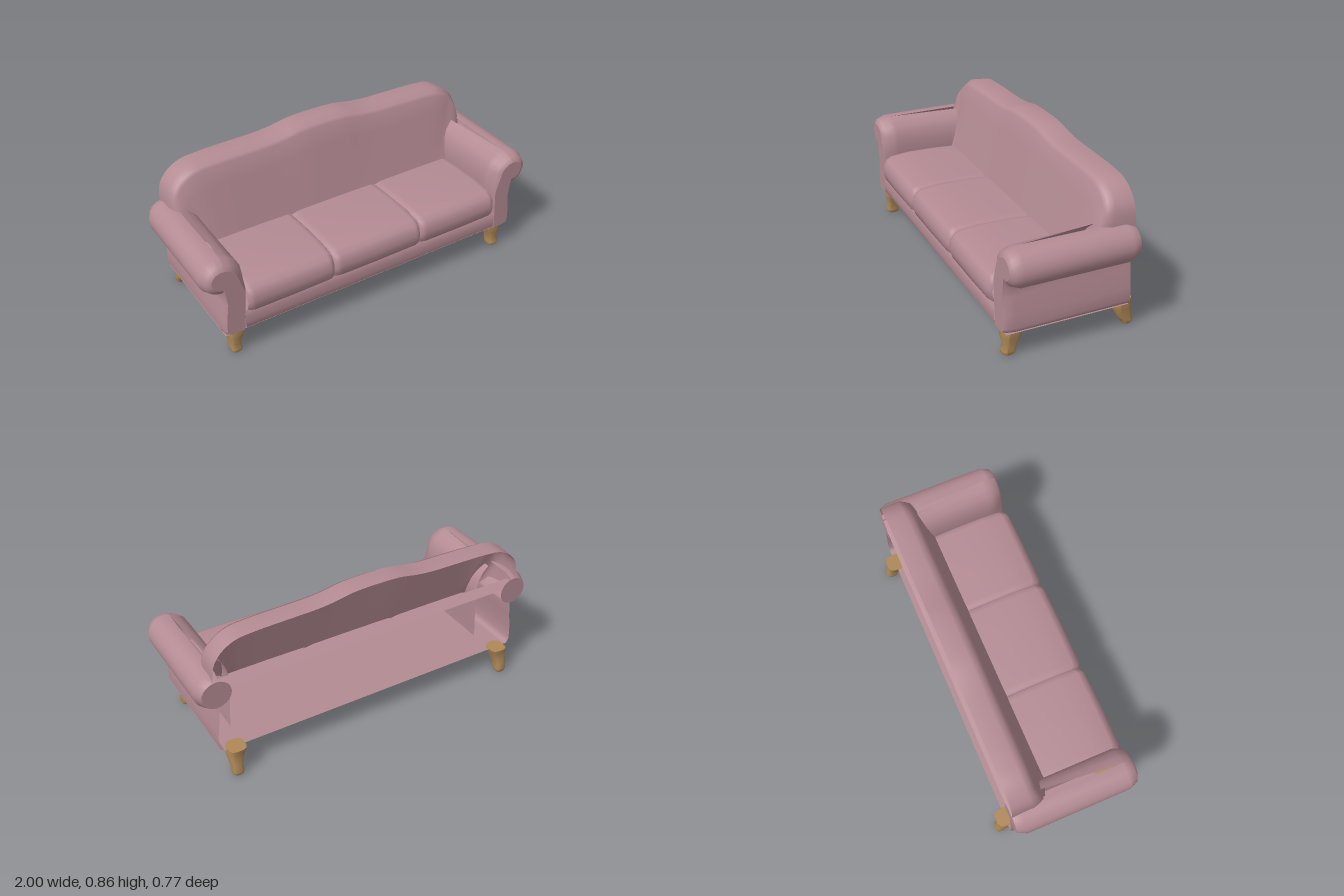
import * as THREE from 'three';

const fabric = new THREE.MeshStandardMaterial({ color: 0xb48b93, side: THREE.DoubleSide });
fabric.name = 'rose fabric';
const wood = new THREE.MeshStandardMaterial({ color: 0xae8857, side: THREE.DoubleSide });
wood.name = 'golden wood';

// Surface through rows of [x, y, z] points; smooth normals
function loft(name, rows, material = fabric) {
  const n = rows[0].length, index = [];
  for (let r = 0; r < rows.length - 1; r++) {
    for (let i = 0; i < n - 1; i++) {
      const a = r * n + i, b = a + 1, c = a + n, d = c + 1;
      index.push(a, c, b, b, c, d);
    }
  }
  const g = new THREE.BufferGeometry();
  g.setAttribute('position', new THREE.Float32BufferAttribute(rows.flat(2), 3));
  g.setIndex(index);
  g.computeVertexNormals();
  const mesh = new THREE.Mesh(g, material);
  mesh.name = name;
  return mesh;
}

// Flat face from a list of [x, y] points
function face(name, points, z) {
  const shape = new THREE.Shape(points.map(p => new THREE.Vector2(p[0], p[1])));
  const mesh = new THREE.Mesh(new THREE.ShapeGeometry(shape), fabric);
  mesh.position.z = z;
  mesh.name = name;
  return mesh;
}

// Rolled arm: outer side with the roll, inner side, front and back faces
function arm(side) {
  const group = new THREE.Group();
  group.name = side > 0 ? 'leftArm' : 'rightArm';
  const cx = 0.897, cy = 0.508;
  const roll = a => [cx + 0.102 * Math.cos(a), cy + 0.1 * Math.sin(a)];
  const outer = [[0.88, 0.15], [0.9, 0.157], [0.91, 0.18], [0.908, 0.25], [0.895, 0.35], [0.885, 0.41]];
  for (let i = 0; i <= 12; i++) outer.push(roll(-Math.PI / 2 + i * (Math.PI * 1.06) / 12));
  const inner = [outer[outer.length - 1], [0.84, 0.594], [0.8, 0.565], [0.775, 0.52],
    [0.765, 0.46], [0.765, 0.4], [0.775, 0.25], [0.78, 0.15]];
  const inset = ([x, y], d, low = 0.4) => {
    if (y > 0.4) {
      const k = Math.min(1, d / Math.hypot(x - cx, y - cy));
      return [x + (cx - x) * k, y + (cy - y) * k];
    }
    return [x + Math.sign(0.835 - x) * d * low, y < 0.17 ? y + d * low * 0.3 : y];
  };
  const row = (pts, z, d, low) => pts.map(p => [...inset(p, d, low), z]).map(([x, y]) => [x * side, y, z]);
  const front = [[0.30, 0], [0.345, 0.018], [0.36, 0.045]];
  group.add(loft('armOuter', [row(outer, -0.32, 0.022, 0), row(outer, -0.27, 0),
    ...front.map(([z, d]) => row(outer, z, d))]));

  // The inner side leans away from the roll toward the back
  const leaning = [-0.17, 0.05, 0.27].map(z => inner.map(([x, y], i) => {
    const t = (0.27 - z) / 0.44;
    return [(x - 0.042 * t * [1, 0.4, 0.1, 0, 0, 0, 0, 0][i]) * side, y, z];
  }));
  group.add(loft('armInner', [...leaning, ...front.map(([z, d]) => row(inner, z, d))]));
  group.add(face('armFront', [...row(outer, 0, 0.045), ...row(inner, 0, 0.045).slice(1)], 0.36));

  const disc = [];
  for (let i = 0; i < 20; i++) disc.push(inset(roll(i * Math.PI / 10), 0.022));
  group.add(face('rollBack', disc.map(([x, y]) => [x * side, y]), -0.32));
  return group;
}

// Hollow backrest with a raised crest
function backrest() {
  const half = [[0.905, 0.5], [0.91, 0.62], [0.895, 0.70], [0.85, 0.76], [0.78, 0.80], [0.68, 0.813],
    [0.5, 0.818], [0.33, 0.822], [0.24, 0.832], [0.14, 0.85]];
  const pts = [...half.map(([x, y]) => [-x, y]), [0, 0.855], ...half.slice().reverse()];
  const curve = new THREE.CatmullRomCurve3(pts.map(p => new THREE.Vector3(p[0], p[1], 0)), false, 'centripetal');
  const outline = curve.getPoints(80);
  const ring = (z, kx, ky, forward = 0) => outline.map(p => [
    p.x * (1 - kx), p.y - (p.y - 0.5) * ky,
    z + forward * THREE.MathUtils.clamp((0.75 - p.y) / 0.2, 0, 1)]);
  const rows = [ring(-0.32, 0, 0.03), ring(-0.22, 0, 0, 0.03), ring(-0.19, 0.012, 0.07, 0.04), ring(-0.17, 0.025, 0.1, 0.045)];
  const lip = rows[3];
  for (const t of [0.25, 0.5, 0.75, 1]) {
    rows.push(lip.map(([x, y, z], i) => [
      x + (outline[i].x * 0.84 - x) * t, y + (0.4 - y) * t, z + (-0.07 - z) * t]));
  }
  return loft('backrest', rows);
}

// Seat cushion, pinched slightly at both seams
function cushion(x0, x1) {
  const profile = [[0.35, 0.252], [0.37, 0.268], [0.38, 0.3], [0.383, 0.33], [0.376, 0.365], [0.36, 0.392],
    [0.33, 0.408], [0.22, 0.418], [0.05, 0.415], [-0.11, 0.405]];
  const rows = [[0, 0.022], [0.02, 0.008], [0.07, 0], [0.5, -0.002], [0.93, 0], [0.98, 0.008], [1, 0.022]].map(([t, d]) =>
    profile.map(([z, y]) => [x0 + (x1 - x0) * t, y > 0.3 ? y - d * 0.7 : y, z > 0.3 ? z - d : z]));
  return loft('seatCushion', rows);
}

// Curved leg from rounded square sections [y, x, z, half width, half depth]
function leg(name, side, sections) {
  const rows = sections.map(([y, x, z, w, d]) => {
    const out = [];
    for (let i = 0; i <= 12; i++) {
      const a = i * Math.PI / 6 + Math.PI / 12, c = Math.cos(a), s = Math.sin(a);
      const soft = v => Math.sign(v) * Math.pow(Math.abs(v), 0.65);
      out.push([side * (x + w * soft(c)), y, z + d * soft(s)]);
    }
    return out;
  });
  const group = new THREE.Group();
  group.name = name;
  const flat = r => r.map(() => [side * sections[rows.indexOf(r)][1], r[0][1], sections[rows.indexOf(r)][2]]);
  const last = rows[rows.length - 1];
  group.add(loft('legBody', rows, wood), loft('legTop', [flat(rows[0]), rows[0]], wood), loft('legFoot', [last, flat(last)], wood));
  return group;
}

export function createModel() {
  const sofa = new THREE.Group();
  sofa.name = 'sofa';

  for (const side of [-1, 1]) {
    sofa.add(arm(side));
    sofa.add(leg('frontLeg', side, [
      [0.153, 0.82, 0.285, 0.05, 0.058], [0.125, 0.825, 0.289, 0.046, 0.054], [0.1, 0.83, 0.294, 0.04, 0.05],
      [0.055, 0.834, 0.298, 0.028, 0.036], [0.025, 0.834, 0.306, 0.031, 0.038],
      [0.008, 0.834, 0.307, 0.029, 0.034], [0, 0.834, 0.308, 0.022, 0.025]]));
    sofa.add(leg('backLeg', side, [
      [0.153, 0.82, -0.318, 0.05, 0.052], [0.125, 0.825, -0.317, 0.046, 0.05], [0.1, 0.83, -0.319, 0.04, 0.047],
      [0.055, 0.834, -0.333, 0.029, 0.043], [0.025, 0.834, -0.349, 0.031, 0.033],
      [0.008, 0.834, -0.35, 0.029, 0.029], [0, 0.834, -0.35, 0.022, 0.022]]));
  }

  sofa.add(backrest());
  for (const [a, b] of [[-0.77, -0.27], [-0.27, 0.27], [0.27, 0.77]]) sofa.add(cushion(a, b));

  // Front rail, open-backed floor and rear brace
  const across = (w, pts) => pts.map(([y, z]) => [[-w, y, z], [w, y, z]]);
  sofa.add(loft('frontRail', across(0.79, [[0.15, 0.345], [0.165, 0.36], [0.2, 0.361], [0.24, 0.36], [0.262, 0.345]])));
  sofa.add(loft('floor', across(0.9, [[0.15, -0.32], [0.15, 0.347]])));
  sofa.add(loft('rearBrace', across(0.9, [[0.535, -0.32], [0.56, -0.267]])));
  return sofa;
}
